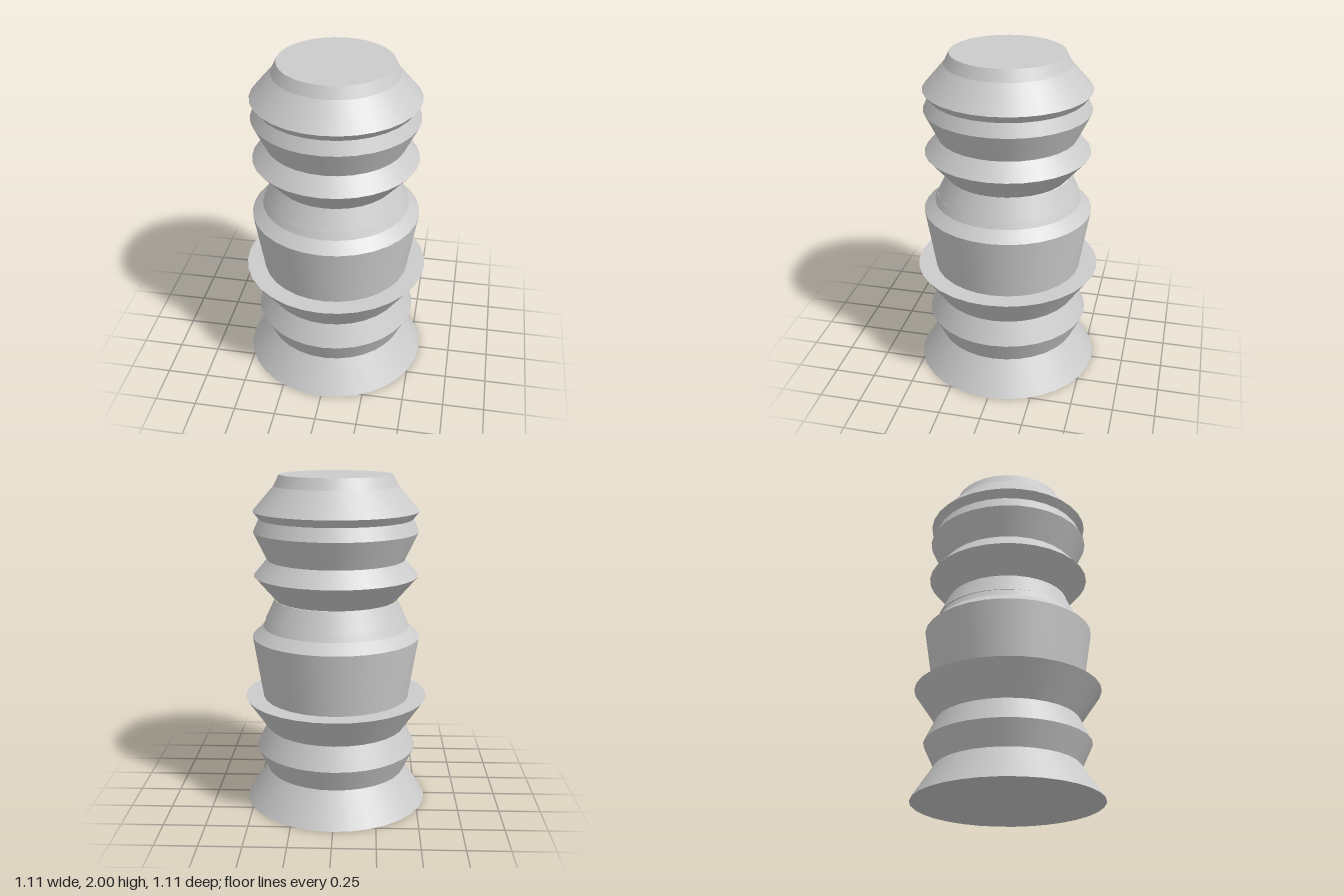
import * as THREE from 'three';
import { mergeGeometries } from 'three/addons/utils/BufferGeometryUtils.js';

const SIDES = 32;
const material = new THREE.MeshStandardMaterial({ color: 0xcccccc });

// Turned part: [radius, height] points from bottom to top, smooth around and creased at each point
function turned(name, profile) {
  const bands = [];
  for (let i = 0; i < profile.length - 1; i++) {
    const pair = [profile[i], profile[i + 1]].map(([r, y]) => new THREE.Vector2(r, y));
    bands.push(new THREE.LatheGeometry(pair, SIDES));
  }
  const mesh = new THREE.Mesh(mergeGeometries(bands), material);
  mesh.name = name;
  return mesh;
}

export function createModel() {
  const group = new THREE.Group();
  group.name = 'turnedColumn';

  // Flared foot with a closed underside
  group.add(turned('foot', [[0, 0], [0.555, 0], [0.425, 0.2]]));

  // Lower ridge and the wide flange with its flat ledge
  group.add(turned('lowerRidge', [[0.425, 0.2], [0.49, 0.34], [0.425, 0.475]]));
  group.add(turned('flange', [[0.425, 0.475], [0.555, 0.665], [0.445, 0.665]]));

  // Tapered drum and its sloping shoulder
  group.add(turned('drum', [[0.445, 0.665], [0.505, 1.04]]));
  group.add(turned('shoulder', [[0.505, 1.04], [0.44, 1.1], [0.42, 1.145], [0.4, 1.145]]));

  // Neck, set slightly back so that it forms a thin lip over the shoulder
  const neck = turned('neck', [[0.38, 1.143], [0.425, 1.143], [0.367, 1.265]]);
  neck.position.z = -0.006;
  group.add(neck);

  // Stacked ridges
  group.add(turned('middleRidge', [[0.365, 1.265], [0.49, 1.41], [0.41, 1.505]]));
  group.add(turned('upperRidge', [[0.41, 1.505], [0.49, 1.67], [0.455, 1.745]]));

  // Domed cap with a flat top
  group.add(turned('cap', [[0.455, 1.745], [0.49, 1.79], [0.365, 1.935], [0.333, 2], [0, 2]]));

  return group;
}
